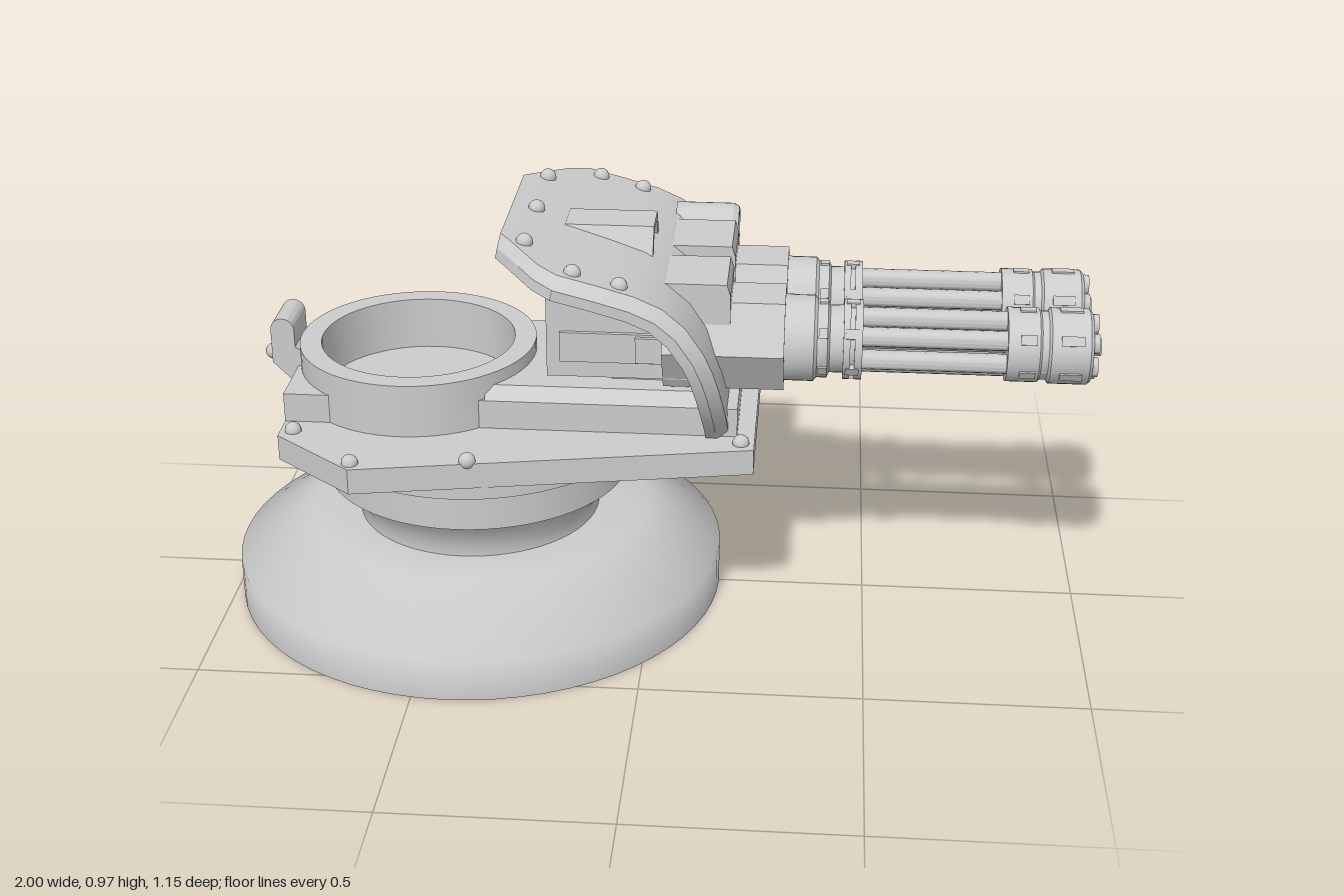
import * as THREE from 'three';
import { toCreasedNormals } from 'three/addons/utils/BufferGeometryUtils.js';

const material = new THREE.MeshStandardMaterial({ color: 0xcccccc });

function add(parent, name, geometry, x = 0, y = 0, z = 0) {
  const mesh = new THREE.Mesh(geometry, material);
  mesh.name = name;
  mesh.position.set(x, y, z);
  parent.add(mesh);
  return mesh;
}

const polygon = (pts) => new THREE.Shape(pts.map(([a, b]) => new THREE.Vector2(a, b)));
const box = (w, h, d) => new THREE.BoxGeometry(w, h, d);

function lathe(pts, segments, crease = 0.5) {
  const g = new THREE.LatheGeometry(pts.map(([r, h]) => new THREE.Vector2(r, h)), segments);
  return toCreasedNormals(g, crease);
}
// Lathe turned so its axis runs along x
const latheX = (pts, segments) => lathe(pts, segments).rotateZ(-Math.PI / 2);

function extrude(shape, depth) {
  const g = new THREE.ExtrudeGeometry(shape, { depth, curveSegments: 32, bevelEnabled: false });
  return toCreasedNormals(g, 0.5);
}
// Plan shape (x, z) with its top at y = 0, extending down
const extrudeDown = (shape, depth) => extrude(shape, depth).rotateX(Math.PI / 2);
// Side shape (x, y) centred on z
const extrudeWide = (shape, width) => extrude(shape, width).translate(0, 0, -width / 2);
// Front shape (-z, y) running along +x
const extrudeAlongX = (shape, depth) => extrude(shape, depth).rotateY(Math.PI / 2);

// Curved plate swept down a side profile of [x, y, half width]
function shieldGeometry(stations, thickness, chamfer) {
  const pos = [], index = [], n = 6;
  stations.forEach(([x, y, w], i) => {
    const a = stations[Math.max(i - 1, 0)];
    const b = stations[Math.min(i + 1, stations.length - 1)];
    const len = Math.hypot(b[0] - a[0], b[1] - a[1]);
    const nx = -(b[1] - a[1]) / len, ny = (b[0] - a[0]) / len;
    const ring = [[w - chamfer, 0], [w, chamfer], [w, thickness],
      [-w, thickness], [-w, chamfer], [chamfer - w, 0]];
    for (const [z, d] of ring) pos.push(x - nx * d, y - ny * d, z);
    if (i === 0) return;
    for (let k = 0; k < n; k++) {
      const p = (i - 1) * n + k, q = (i - 1) * n + (k + 1) % n;
      index.push(p, q, p + n, q, q + n, p + n);
    }
  });
  const e = (stations.length - 1) * n;
  for (let k = 1; k < n - 1; k++) index.push(0, k + 1, k, e, e + k, e + k + 1);
  const g = new THREE.BufferGeometry();
  g.setAttribute('position', new THREE.Float32BufferAttribute(pos, 3));
  g.setIndex(index);
  return toCreasedNormals(g, 0.5);
}

function buildGun(z) {
  const gun = new THREE.Group();
  gun.name = 'rotaryGun';
  gun.position.set(0, 0.7, z);
  // Hexagonal housing with a raised block on top
  const hex = new THREE.CylinderGeometry(0.12, 0.12, 0.27, 6).rotateZ(-Math.PI / 2);
  add(gun, 'hexHousing', toCreasedNormals(hex, 0.3), 0.165);
  add(gun, 'housingBlock', extrudeWide(polygon([[0.03, 0], [0.18, 0], [0.18, 0.13], [0.172, 0.155], [0.03, 0.155]]), 0.17));
  // Breech rings and clamp
  add(gun, 'breech', latheX([[0, 0.3], [0.097, 0.3], [0.097, 0.365], [0.088, 0.372], [0.088, 0.395],
    [0.076, 0.4], [0.076, 0.43], [0.09, 0.43], [0.09, 0.445], [0.078, 0.445], [0.078, 0.455],
    [0.09, 0.455], [0.09, 0.472], [0, 0.472]], 32));
  // Muzzle cluster
  add(gun, 'muzzleCollar', latheX([[0, 0.79], [0.083, 0.79], [0.083, 0.86], [0.077, 0.865], [0.077, 0.88],
    [0.085, 0.885], [0.085, 0.97], [0.078, 0.977], [0, 0.977]], 32));
  add(gun, 'spindle', latheX([[0, 0.46], [0.02, 0.46], [0.02, 1], [0.012, 1], [0.012, 0.98], [0, 0.98]], 12));
  for (let i = 0; i < 6; i++) {
    const a = (i * Math.PI) / 3;
    const y = Math.cos(a), dz = Math.sin(a);
    add(gun, 'barrel', latheX([[0, 0.46], [0.022, 0.46], [0.022, 0.99], [0.013, 0.99], [0.013, 0.96], [0, 0.96]], 16),
      0, y * 0.055, dz * 0.055);
    for (const [x, r, len] of [[0.385, 0.086, 0.02], [0.45, 0.086, 0.03], [0.835, 0.08, 0.035], [0.93, 0.082, 0.05]]) {
      const lug = add(gun, 'collarLug', box(len, 0.012, 0.022), x, y * r, dz * r);
      lug.rotation.x = a;
    }
  }
  return gun;
}

export function createModel() {
  const model = new THREE.Group();
  model.name = 'gunTurret';

  // Round foot, neck and turntable collar
  add(model, 'pedestal', lathe([[0, 0], [0.577, 0], [0.577, 0.1], [0.4, 0.2], [0.285, 0.2], [0.285, 0.232],
    [0.335, 0.31], [0.36, 0.31], [0.36, 0.405], [0.395, 0.405], [0.395, 0.437], [0, 0.437]], 64, 1.15), -0.423);

  // Deck plate
  add(model, 'deck', extrudeDown(polygon([[0.24, -0.28], [0.24, 0.28], [-0.64, 0.445], [-0.83, 0.29],
    [-0.83, -0.29], [-0.64, -0.445]]), 0.06), 0, 0.495);

  // Crew ring
  const ringX = -0.555;
  add(model, 'crewRing', lathe([[0.225, 0.49], [0.275, 0.49], [0.275, 0.62], [0.225, 0.62], [0.225, 0.49]], 64), ringX);

  // Raised blocks that butt against the ring, ahead of it and behind it
  const arc = Math.asin(0.86);
  const frontBlock = new THREE.Shape();
  frontBlock.moveTo(0.2, -0.215).lineTo(0.2, 0.215);
  frontBlock.absarc(ringX, 0, 0.25, arc, -arc, true);
  add(model, 'frontBlock', extrudeDown(frontBlock, 0.075), 0, 0.563);
  add(model, 'frontBlockTop', box(0.43, 0.04, 0.28), -0.095, 0.57, 0);
  const rearBlock = new THREE.Shape();
  rearBlock.moveTo(-0.83, 0.215).lineTo(-0.83, -0.215);
  rearBlock.absarc(ringX, 0, 0.25, Math.PI + arc, Math.PI - arc, true);
  add(model, 'rearBlock', extrudeDown(rearBlock, 0.075), 0, 0.563);
  // Sloped shoulders along both edges of the front block
  for (const s of [-1, 1]) {
    const shoulder = polygon([[s * 0.13, 0.555], [s * 0.215, 0.563], [s * 0.185, 0.59], [s * 0.13, 0.59]]);
    add(model, 'frontBlockShoulder', extrudeAlongX(shoulder, 0.49), -0.37);
  }

  // Rear latch with a rounded head
  const latch = new THREE.Shape();
  latch.moveTo(-0.82, 0.5).lineTo(-0.82, 0.6).lineTo(-0.835, 0.61).lineTo(-0.835, 0.652);
  latch.absarc(-0.8625, 0.652, 0.0275, 0, Math.PI, false);
  latch.lineTo(-0.89, 0.57);
  add(model, 'rearLatch', extrudeWide(latch, 0.12));

  // Gun cradle: body with sloped front, open rear frame, side panels and mount
  add(model, 'cradleBody', extrudeWide(polygon([[-0.18, 0.62], [0.12, 0.62], [0.11, 0.7], [0.05, 0.79],
    [-0.04, 0.845], [-0.18, 0.865]]), 0.38));
  const frame = polygon([[-0.19, 0.62], [0.19, 0.62], [0.19, 0.865], [-0.19, 0.865]]);
  frame.holes.push(polygon([[-0.165, 0.645], [-0.165, 0.84], [0.165, 0.84], [0.165, 0.645]]));
  add(model, 'cradleRearFrame', extrudeAlongX(frame, 0.05), -0.23);
  add(model, 'cradleMount', box(0.2, 0.06, 0.26), 0.01, 0.605, 0);
  for (const s of [-1, 1]) {
    add(model, 'sidePanel', box(0.24, 0.07, 0.02), -0.08, 0.695, s * 0.19);
    add(model, 'sideLatch', box(0.06, 0.06, 0.03), 0.0, 0.695, s * 0.195);
    model.add(buildGun(s * 0.115));
  }

  // Curved gun shield
  add(model, 'shield', shieldGeometry([[-0.325, 0.958, 0.215], [-0.3, 0.953, 0.245], [-0.23, 0.936, 0.335],
    [-0.185, 0.925, 0.367], [-0.1, 0.903, 0.367], [-0.02, 0.88, 0.367], [0.04, 0.853, 0.367],
    [0.09, 0.81, 0.367], [0.13, 0.75, 0.366], [0.15, 0.7, 0.355], [0.163, 0.65, 0.34],
    [0.172, 0.6, 0.315], [0.178, 0.55, 0.28], [0.18, 0.495, 0.225]], 0.05, 0.026));

  // Hooded vent on the shield
  const vent = polygon([[-0.085, 0.85], [0.085, 0.85], [0.085, 0.87], [0.05, 0.93], [-0.05, 0.93], [-0.085, 0.87]]);
  vent.holes.push(polygon([[-0.06, 0.853], [-0.06, 0.87], [-0.035, 0.915], [0.035, 0.915], [0.06, 0.87], [0.06, 0.853]]));
  add(model, 'vent', extrudeAlongX(vent, 0.2), -0.2);

  // Sight tube on the right of the shield
  add(model, 'sightTube', latheX([[0, 0.03], [0.06, 0.03], [0.06, 0.165], [0.052, 0.178], [0.042, 0.178],
    [0.04, 0.14], [0, 0.14]], 32), 0, 0.81, -0.268);

  // Domed bolts
  const bolt = new THREE.SphereGeometry(0.019, 14, 10);
  for (const s of [-1, 1]) {
    for (const [x, y, z] of [[-0.8, 0.498, 0.265], [-0.64, 0.498, 0.415], [-0.385, 0.498, 0.385], [0.21, 0.498, 0.25],
      [-0.27, 0.948, 0.21], [-0.155, 0.918, 0.308], [-0.055, 0.891, 0.308], [-0.892, 0.588, 0.035]]) {
      add(model, 'bolt', bolt, x, y, s * z);
    }
  }
  add(model, 'bolt', bolt, -0.27, 0.948, 0);
  return model;
}
